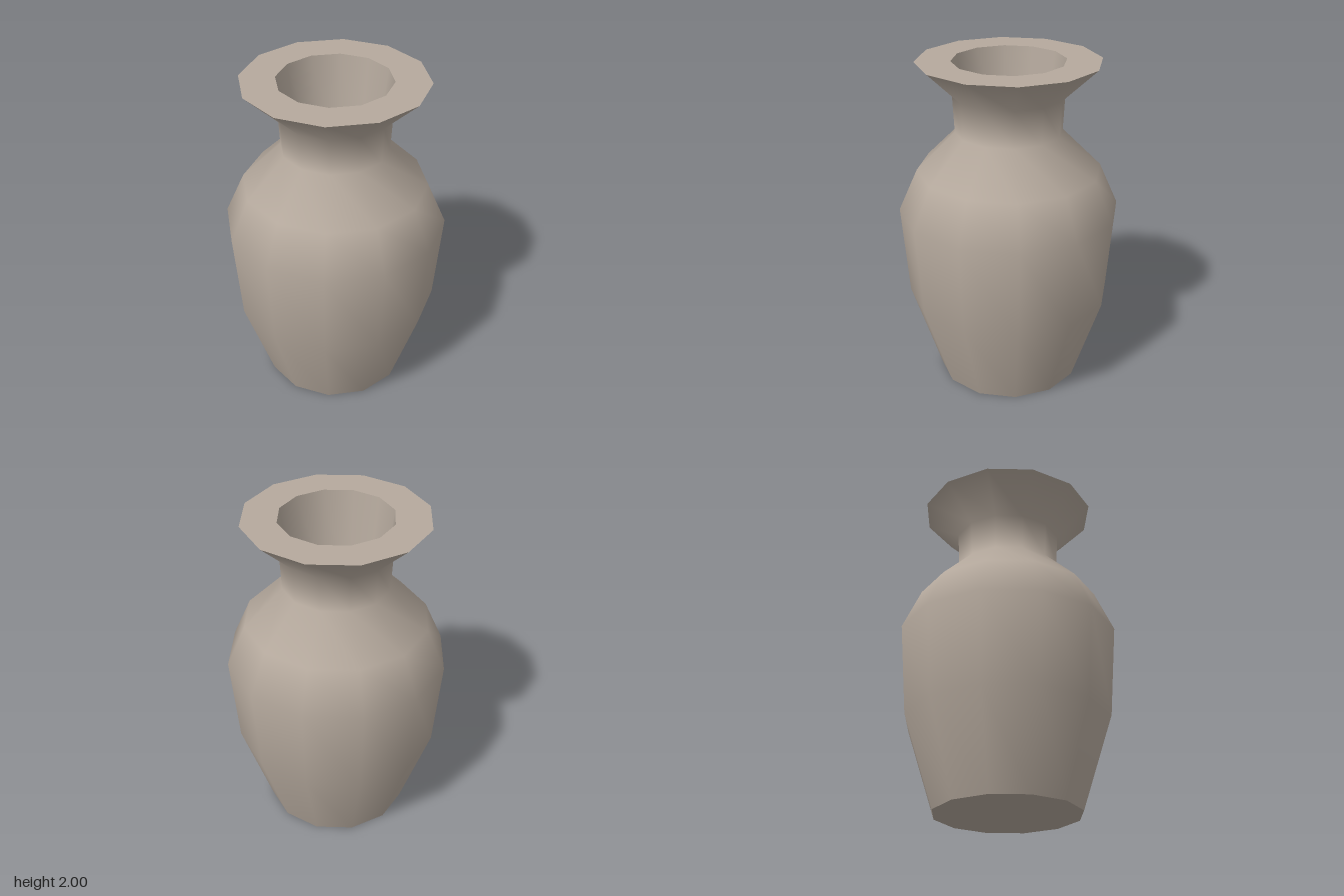
import * as THREE from 'three';

const SIDES = 12;

export function createModel() {
  const model = new THREE.Group();
  model.name = 'vase';

  const clay = new THREE.MeshStandardMaterial({ color: 0xb5a99d });
  clay.name = 'clay';

  // Each part is turned from [radius, height] points; separate parts keep sharp edges between them
  const turn = (name, profile) => {
    const points = profile.map(([r, y]) => new THREE.Vector2(r, y));
    const mesh = new THREE.Mesh(new THREE.LatheGeometry(points, SIDES), clay);
    mesh.name = name;
    model.add(mesh);
  };

  // Flat underside
  turn('base', [[0, 0], [0.437, 0]]);

  // Smooth outer wall: belly, shoulder, neck and flared collar
  turn('body', [
    [0.437, 0], [0.617, 0.55], [0.66, 1.1], [0.548, 1.35],
    [0.317, 1.58], [0.328, 1.8], [0.538, 2],
  ]);

  // Broad flat lip
  turn('rim', [[0.538, 2], [0.332, 2]]);

  // Tapered opening and its floor
  turn('innerWall', [[0.332, 2], [0.252, 1.4]]);
  turn('innerFloor', [[0.252, 1.4], [0, 1.4]]);

  return model;
}
